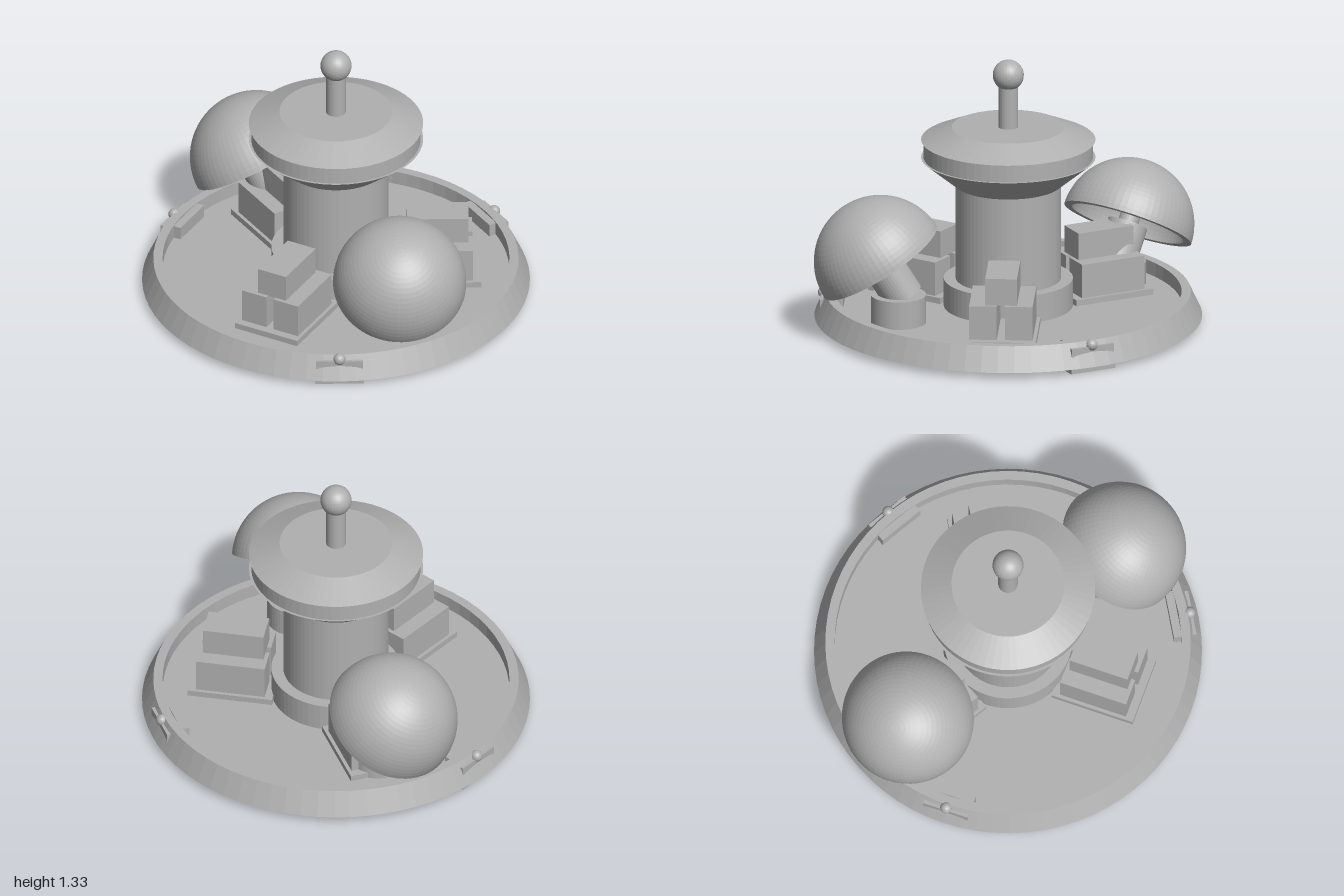
import * as THREE from 'three';

const grey = new THREE.MeshStandardMaterial({ color: 0xb0b0b0, flatShading: true });
grey.name = 'plainGrey';

const FLOOR = 0.08;

function add(parent, name, geometry, x = 0, y = 0, z = 0) {
  const mesh = new THREE.Mesh(geometry, grey);
  mesh.name = name;
  mesh.position.set(x, y, z);
  parent.add(mesh);
  return mesh;
}

// Box between two radii and two heights, centred at tangential offset t
function radialBox(parent, name, r0, r1, y0, y1, width, t = 0) {
  return add(parent, name, new THREE.BoxGeometry(r1 - r0, y1 - y0, width),
    (r0 + r1) / 2, (y0 + y1) / 2, t);
}

// Upright cylinder or cone between two heights
function tier(parent, name, r0, r1, y0, y1, x = 0, z = 0, sides = 64) {
  return add(parent, name, new THREE.CylinderGeometry(r1, r0, y1 - y0, sides), x, (y0 + y1) / 2, z);
}

function lathe(points, sides = 64) {
  return new THREE.LatheGeometry(points.map(([r, y]) => new THREE.Vector2(r, y)), sides);
}

// Group turned so that its local x points outward at the given angle
function spoke(parent, name, degrees) {
  const g = new THREE.Group();
  g.name = name;
  g.rotation.y = -THREE.MathUtils.degToRad(degrees);
  parent.add(g);
  return g;
}

// Hollow tilted dome on a post with a round foot
function addDome(parent, side) {
  const dome = new THREE.Group();
  dome.name = side > 0 ? 'frontDome' : 'backDome';
  parent.add(dome);
  tier(dome, 'domeFoot', 0.135, 0.135, FLOOR, 0.22, 0, side * 0.6, 48);

  const head = new THREE.Group();
  head.name = 'domeHead';
  head.position.set(-0.045, 0.385, side * 0.675);
  head.quaternion.setFromUnitVectors(new THREE.Vector3(0, 1, 0),
    new THREE.Vector3(-0.25, 0.85, side * 0.47).normalize());
  dome.add(head);

  const arc = (r, from, to) => Array.from({ length: 21 }, (_, i) => {
    const a = from + (to - from) * i / 20;
    return [Math.max(0, r * Math.cos(a)), r * Math.sin(a)];
  });
  add(head, 'domeShell', lathe([...arc(0.285, Math.PI / 2, 0), ...arc(0.325, 0, Math.PI / 2)]));
  tier(head, 'domePost', 0.1, 0.1, -0.21, 0, 0, 0, 40);
  tier(head, 'domeNeck', 0.05, 0.05, -0.02, 0.3, 0, 0, 32);
}

export function createModel() {
  const model = new THREE.Group();
  model.name = 'model';

  // Tray with a sloping rim and sunken floor
  add(model, 'baseTray', lathe([[0, 0.03], [0.945, 0.03], [0.89, 0.15],
    [0.845, 0.15], [0.845, FLOOR], [0, FLOOR]], 72));

  // Central tower
  tier(model, 'collar', 0.315, 0.315, FLOOR, 0.22);
  tier(model, 'column', 0.257, 0.257, FLOOR, 0.71);
  tier(model, 'flare', 0.26, 0.425, 0.7, 0.835);
  tier(model, 'band', 0.413, 0.413, 0.83, 0.93);
  tier(model, 'cap', 0.425, 0.275, 0.925, 0.99);
  tier(model, 'mast', 0.048, 0.048, 0.98, 1.24, 0, 0, 32);
  add(model, 'mastBall', new THREE.SphereGeometry(0.076, 32, 24), 0, 1.254, 0);

  // Stacked blocks on plates
  for (const angle of [30, 150, 270]) {
    const stack = spoke(model, 'blockStack', angle);
    radialBox(stack, 'stackPlate', 0.285, 0.705, FLOOR, 0.11, 0.345);
    for (const s of [-1, 1]) radialBox(stack, 'lowerBlock', 0.325, 0.665, 0.11, 0.28, 0.135, s * 0.0875);
    radialBox(stack, 'upperBlock', 0.345, 0.645, 0.28, 0.415, 0.155);
  }

  // Rim fittings: foot, outer plate, knob and inner ledge
  for (const angle of [0, 120, 240]) {
    const fitting = spoke(model, 'rimFitting', angle);
    radialBox(fitting, 'foot', 0.8, 0.917, 0, 0.035, 0.24);
    radialBox(fitting, 'rimPlate', 0.895, 0.913, 0.05, 0.125, 0.23);
    add(fitting, 'rimKnob', new THREE.SphereGeometry(0.029, 20, 14), 0.9, 0.13, 0);
    radialBox(fitting, 'innerLedge', 0.8, 0.84, FLOOR, 0.145, 0.24);
  }

  addDome(model, 1);
  addDome(model, -1);
  return model;
}
